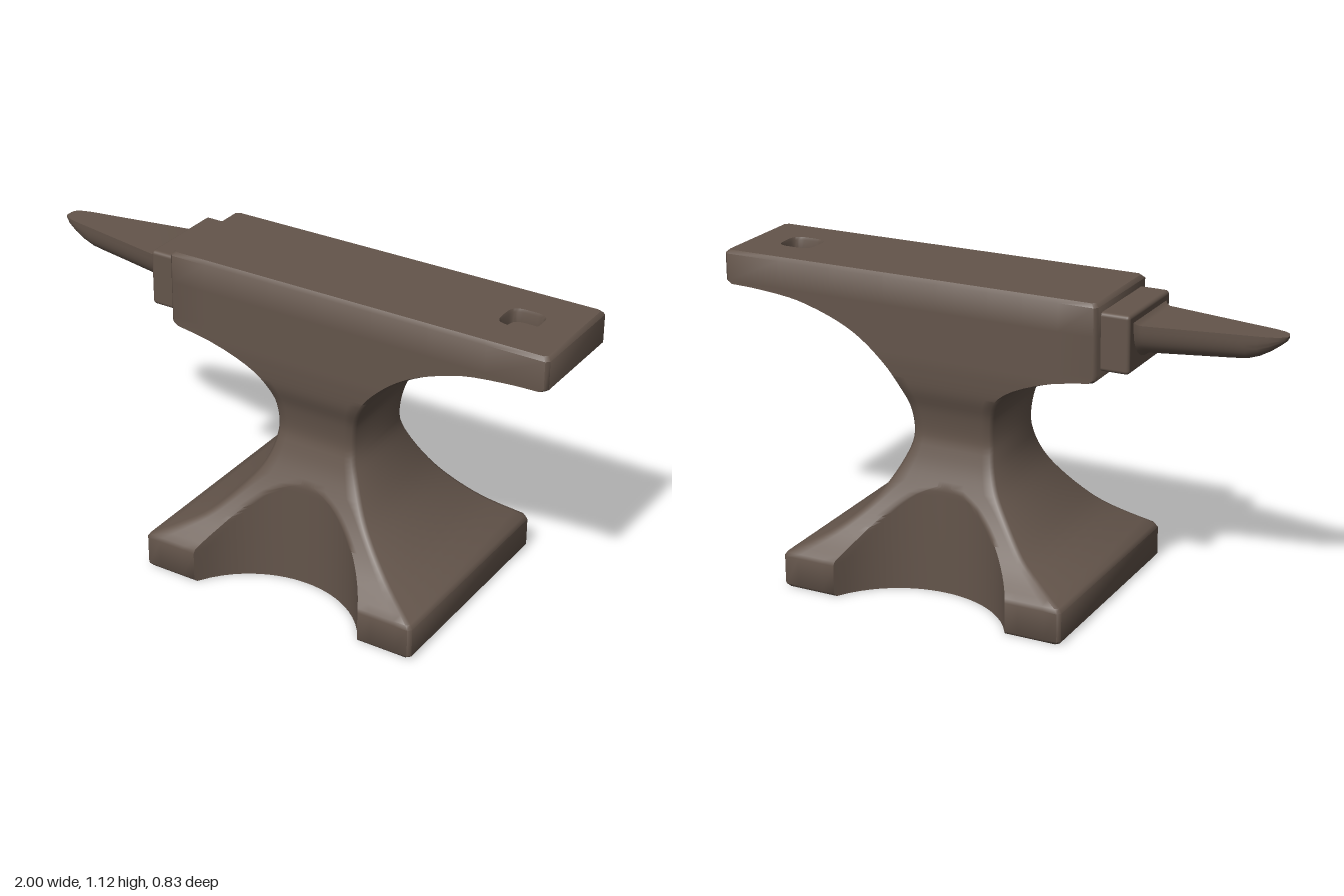
import * as THREE from 'three';
import { toCreasedNormals } from 'three/addons/utils/BufferGeometryUtils.js';
import { RoundedBoxGeometry } from 'three/addons/geometries/RoundedBoxGeometry.js';

const BEVEL = 0.012;
const MID = 0.1325; // centre of the waist along x

// Skin a stack of closed rings (arrays of [x, y, z])
function loft(rings, crease = 0.85) {
  const n = rings[0].length, pos = rings.flat(2), index = [];
  for (let i = 0; i < rings.length - 1; i++) {
    for (let j = 0; j < n; j++) {
      const k = (j + 1) % n, a = i * n + j, b = i * n + k, c = b + n, d = a + n;
      index.push(a, b, c, a, c, d);
    }
  }
  const g = new THREE.BufferGeometry();
  g.setAttribute('position', new THREE.Float32BufferAttribute(pos, 3));
  g.setIndex(index);
  return toCreasedNormals(g, crease);
}

// Half-width as a function of height: smooth middle with straight ends
function profile(before, curve, after) {
  const v = (p) => new THREE.Vector2(p[0], p[1]);
  const pts = [...before.map(v), ...new THREE.SplineCurve(curve.map(v)).getPoints(120), ...after.map(v)];
  return (y) => {
    for (let i = 1; i < pts.length; i++) {
      const a = pts[i - 1], b = pts[i];
      if (y <= b.y + 1e-6 && b.y > a.y) return a.x + (b.x - a.x) * THREE.MathUtils.clamp((y - a.y) / (b.y - a.y), 0, 1);
    }
    return pts[pts.length - 1].x;
  };
}

const leftX = profile(
  [[-0.39, 0], [-0.4, 0.012], [-0.4, 0.115]],
  [[-0.39, 0.13], [-0.31, 0.17], [-0.205, 0.235], [-0.09, 0.36], [-0.04, 0.45], [-0.02, 0.55], [-0.027, 0.65],
    [-0.055, 0.72], [-0.125, 0.775], [-0.26, 0.825], [-0.405, 0.85]],
  [[-0.42, 0.862], [-0.42, 1.108], [-0.408, 1.12]]);
const rightX = profile(
  [[0.655, 0], [0.665, 0.012], [0.665, 0.115]],
  [[0.655, 0.13], [0.515, 0.21], [0.39, 0.325], [0.31, 0.46], [0.285, 0.555], [0.305, 0.68], [0.38, 0.797],
    [0.515, 0.904], [0.7, 0.973], [0.865, 0.995], [0.985, 1.0]],
  [[1.0, 1.01], [1.0, 1.108], [0.988, 1.12]]);
const depthZ = profile(
  [[0.405, 0], [0.415, 0.012], [0.415, 0.115]],
  [[0.41, 0.13], [0.33, 0.205], [0.255, 0.31], [0.195, 0.425], [0.165, 0.505], [0.154, 0.56], [0.165, 0.645],
    [0.19, 0.725], [0.2, 0.82]],
  [[0.2, 1.108], [0.188, 1.12]]);

// Horizontal section of the body, hollowed front and back by a round scoop
const SCOOP_R = 0.37, SCOOP_Z = 0.582;
function bodyRing(y) {
  const xl = leftX(y), xr = rightX(y), hz = depthZ(y);
  const reach = SCOOP_R ** 2 - (SCOOP_Z - hz) ** 2;
  const w = Math.max(0.03, hz > SCOOP_Z - SCOOP_R ? Math.sqrt(Math.max(0, reach)) : 0);
  const side = [[xl, hz - BEVEL]];
  const run = (a, b, n, last) => {
    for (let i = 0; i < n + last; i++) {
      const x = a + ((b - a) * i) / n;
      const scoop = SCOOP_Z - Math.sqrt(Math.max(0, SCOOP_R ** 2 - (x - MID) ** 2));
      side.push([x, Math.abs(x - MID) <= w ? Math.min(hz, scoop) : hz]);
    }
  };
  run(xl + BEVEL, MID - w, 4, 0);
  run(MID - w, MID + w, 24, 0);
  run(MID + w, xr - BEVEL, 4, 1);
  side.push([xr, hz - BEVEL]);
  const back = side.map(([x, z]) => [x, -z]).reverse();
  return [...side, ...back].map(([x, z]) => [x, y, z]);
}

// Rounded square outline of the tool hole
function holeRing(y, s) {
  const ring = [];
  for (let i = 0; i < 32; i++) {
    const t = (i / 32) * Math.PI * 2, c = Math.cos(t), n = Math.sin(t);
    ring.push([0.805 + Math.sign(c) * Math.abs(c) ** 0.55 * 0.066 * s, y, -Math.sign(n) * Math.abs(n) ** 0.55 * 0.062 * s]);
  }
  return ring;
}

export function createModel() {
  const group = new THREE.Group();
  const iron = new THREE.MeshStandardMaterial({ color: 0x64554b });
  iron.name = 'dark iron';
  const add = (name, geometry) => {
    const mesh = new THREE.Mesh(geometry, iron);
    mesh.name = name;
    group.add(mesh);
    return mesh;
  };

  // Body: foot, waist, heel and face block in one skin
  const heights = [0, 0.012, 0.115];
  for (let y = 0.13; y < 0.84; y += 0.0175) heights.push(y);
  heights.push(0.842, 0.85, 0.862);
  for (let y = 0.88; y < 0.965; y += 0.015) heights.push(y);
  heights.push(0.97, 0.977, 0.984, 0.99, 0.995, 0.998, 1.0, 1.01, 1.108, 1.12);
  const rings = heights.map(bodyRing);
  add('body', loft(rings));

  // Underside of the foot
  const foot = new THREE.Shape(rings[0].map((p) => new THREE.Vector2(p[0], p[2])));
  add('footUnderside', new THREE.ShapeGeometry(foot).rotateX(Math.PI / 2));

  // Working face with its square tool hole
  const face = new THREE.Shape(rings[rings.length - 1].map((p) => new THREE.Vector2(p[0], -p[2])));
  face.holes.push(new THREE.Path(holeRing(0, 1).map((p) => new THREE.Vector2(p[0], -p[2]))));
  add('workingFace', new THREE.ShapeGeometry(face).rotateX(-Math.PI / 2).translate(0, 1.12, 0));
  add('toolHole', loft([holeRing(1.12, 1), holeRing(1.11, 0.94), holeRing(1.075, 0.92), holeRing(1.075, 0)]));

  // Step between face and horn
  const step = add('step', new RoundedBoxGeometry(0.14, 0.2, 0.334, 3, 0.013));
  step.position.set(-0.45, 0.986, 0);

  // Horn: flat top, rounded belly; rows are x, belly y, half width, top y
  const horn = [
    [-1, 1.04, 0, 1.04], [-0.999, 1.034, 0.01, 1.043], [-0.993, 1.025, 0.023, 1.045], [-0.975, 1.01, 0.036, 1.045],
    [-0.945, 0.988, 0.046, 1.045], [-0.91, 0.968, 0.053, 1.045], [-0.87, 0.954, 0.06, 1.045],
    [-0.82, 0.949, 0.069, 1.045], [-0.54, 0.929, 0.121, 1.045], [-0.528, 0.924, 0.127, 1.049], [-0.515, 0.912, 0.138, 1.062],
  ].map(([x, yb, hw, yt]) => {
    const ring = [];
    for (let i = 0; i <= 24; i++) {
      const t = Math.PI * (1 + i / 24), c = Math.cos(t), s = Math.max(0, -Math.sin(t));
      ring.push([x, yt - (yt - yb) * s ** 0.8, -Math.sign(c) * Math.abs(c) ** 0.8 * hw]);
    }
    return ring;
  });
  add('horn', loft(horn));

  return group;
}
